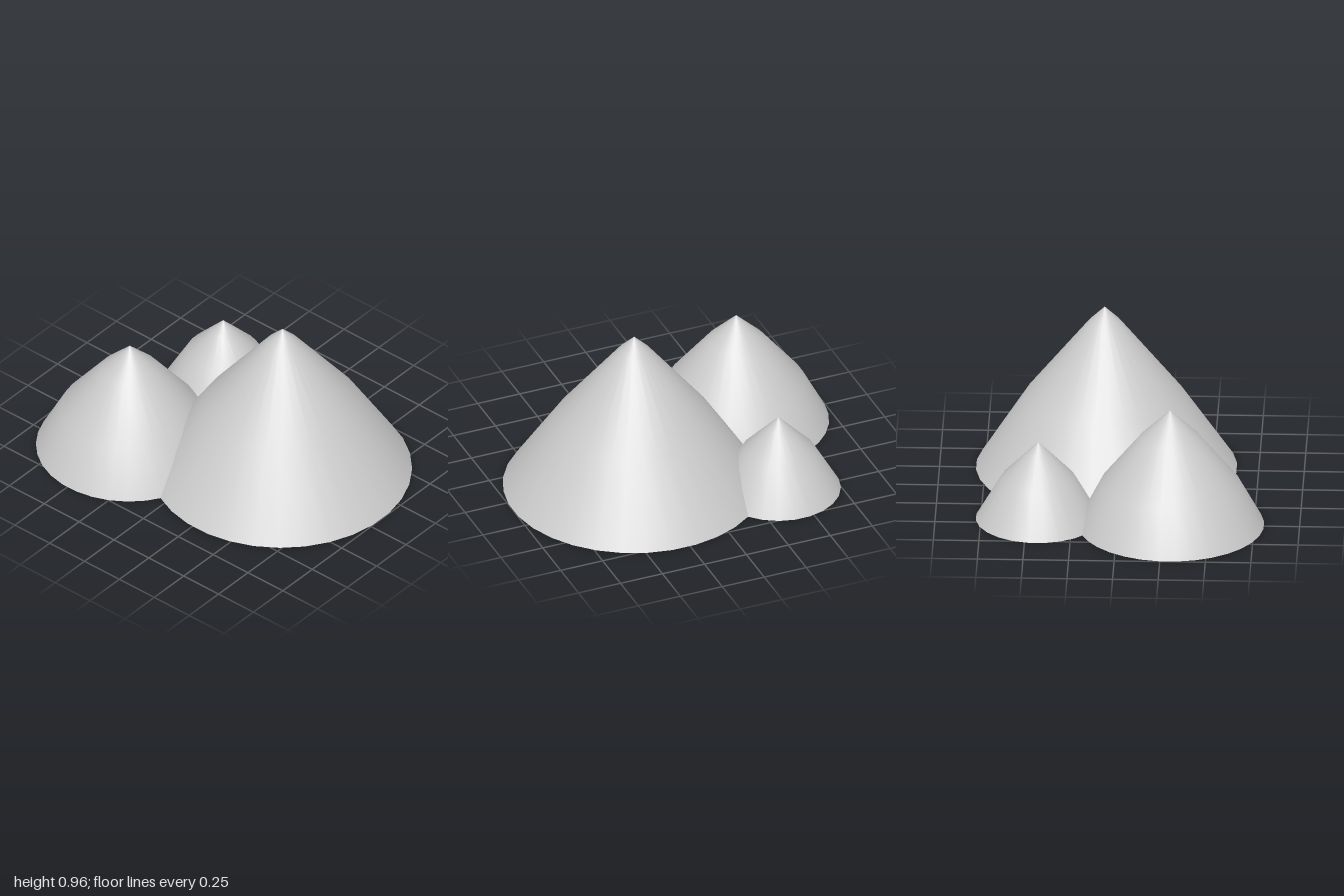
import * as THREE from 'three';

const material = new THREE.MeshStandardMaterial({ color: 0xcccccc });

// One mound: a lathed slope that steepens towards the ground, with a flat base.
// profile lists [radius, height] from ground to peak; drift nudges the foot sideways.
function makeMound(name, x, z, sides, profile, drift) {
  const mound = new THREE.Group();
  mound.name = name;
  mound.position.set(x, 0, z);
  const half = Math.PI / sides;

  const points = profile.map(([r, y]) => new THREE.Vector2(r, y));
  const slope = new THREE.LatheGeometry(points, sides, half);
  const base = new THREE.CircleGeometry(profile[0][0], sides, half).rotateX(Math.PI / 2);

  for (const [part, geometry] of [['Slope', slope], ['Base', base]]) {
    const p = geometry.attributes.position;
    for (let i = 0; i < p.count; i++) {
      if (p.getY(i) < 0.001) p.setX(i, p.getX(i) + drift);
    }
    const mesh = new THREE.Mesh(geometry, material);
    mesh.name = name + part;
    mound.add(mesh);
  }
  return mound;
}

export function createModel() {
  const group = new THREE.Group();
  group.name = 'mounds';
  group.add(
    makeMound('largeMound', 0.095, 0.284, 32,
      [[0.717, 0], [0.434, 0.433], [0.086, 0.872], [0, 0.957]], -0.01),
    makeMound('mediumMound', -0.289, -0.487, 32,
      [[0.512, 0], [0.381, 0.25], [0.16, 0.525], [0, 0.682]], -0.005),
    makeMound('smallMound', 0.436, -0.43, 24,
      [[0.343, 0], [0.202, 0.246], [0.065, 0.39], [0, 0.457]], 0),
  );
  return group;
}
